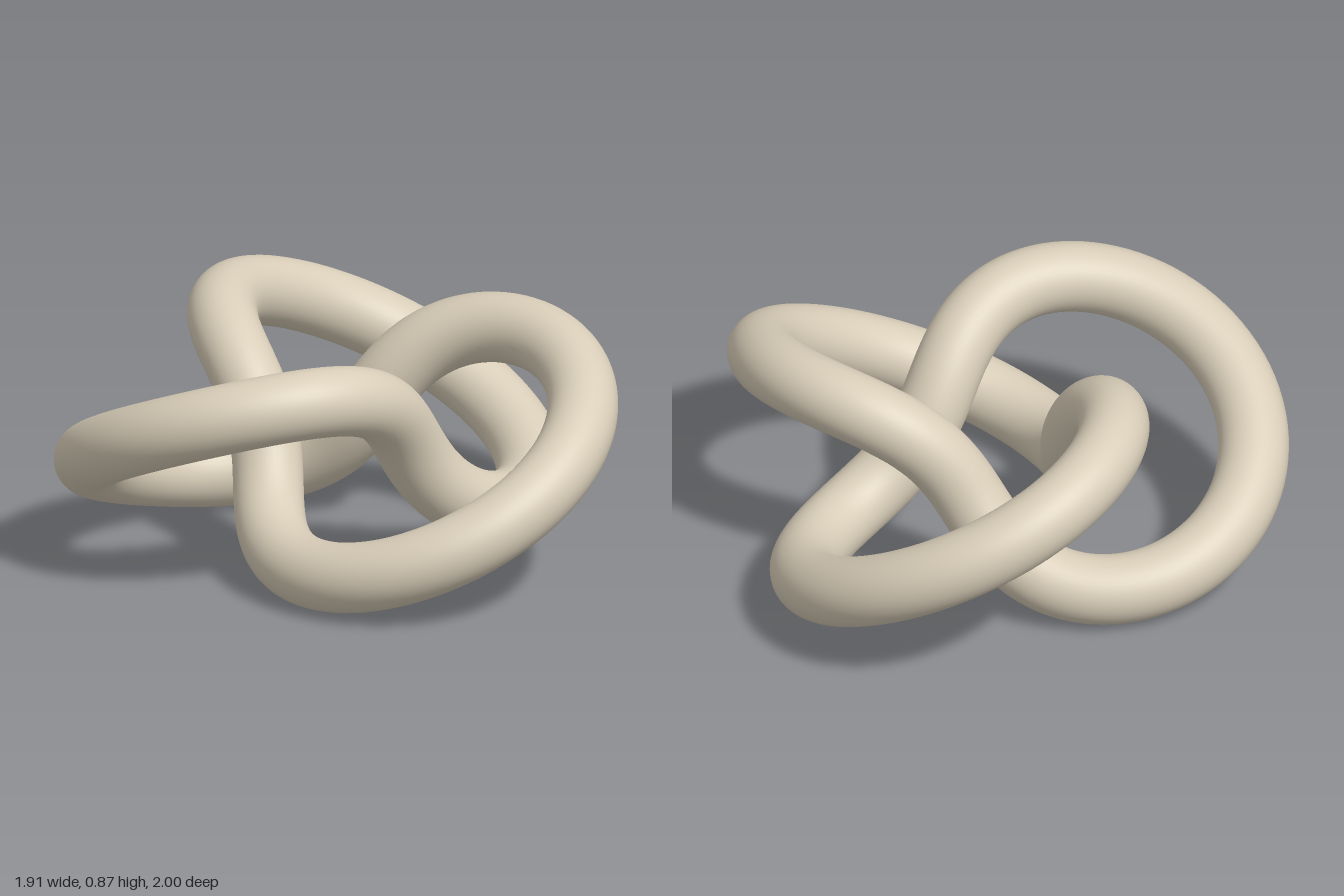
import * as THREE from 'three';

export function createModel() {
  const model = new THREE.Group();
  model.name = 'trefoilKnot';

  const cream = new THREE.MeshStandardMaterial({ color: 0xd8cdb8 });
  cream.name = 'warm cream';

  // Closed three-lobed tube, laid flat with one lobe pointing to +x
  const radius = 0.6196;
  const tube = radius * 0.2;
  const geometry = new THREE.TorusKnotGeometry(radius, tube, 320, 40, 2, 3);
  geometry.rotateX(-Math.PI / 2);

  // Centre on x and z, and rest on the ground
  geometry.center();
  geometry.computeBoundingBox();
  geometry.translate(0, -geometry.boundingBox.min.y, 0);

  const knot = new THREE.Mesh(geometry, cream);
  knot.name = 'knotTube';
  model.add(knot);
  return model;
}
